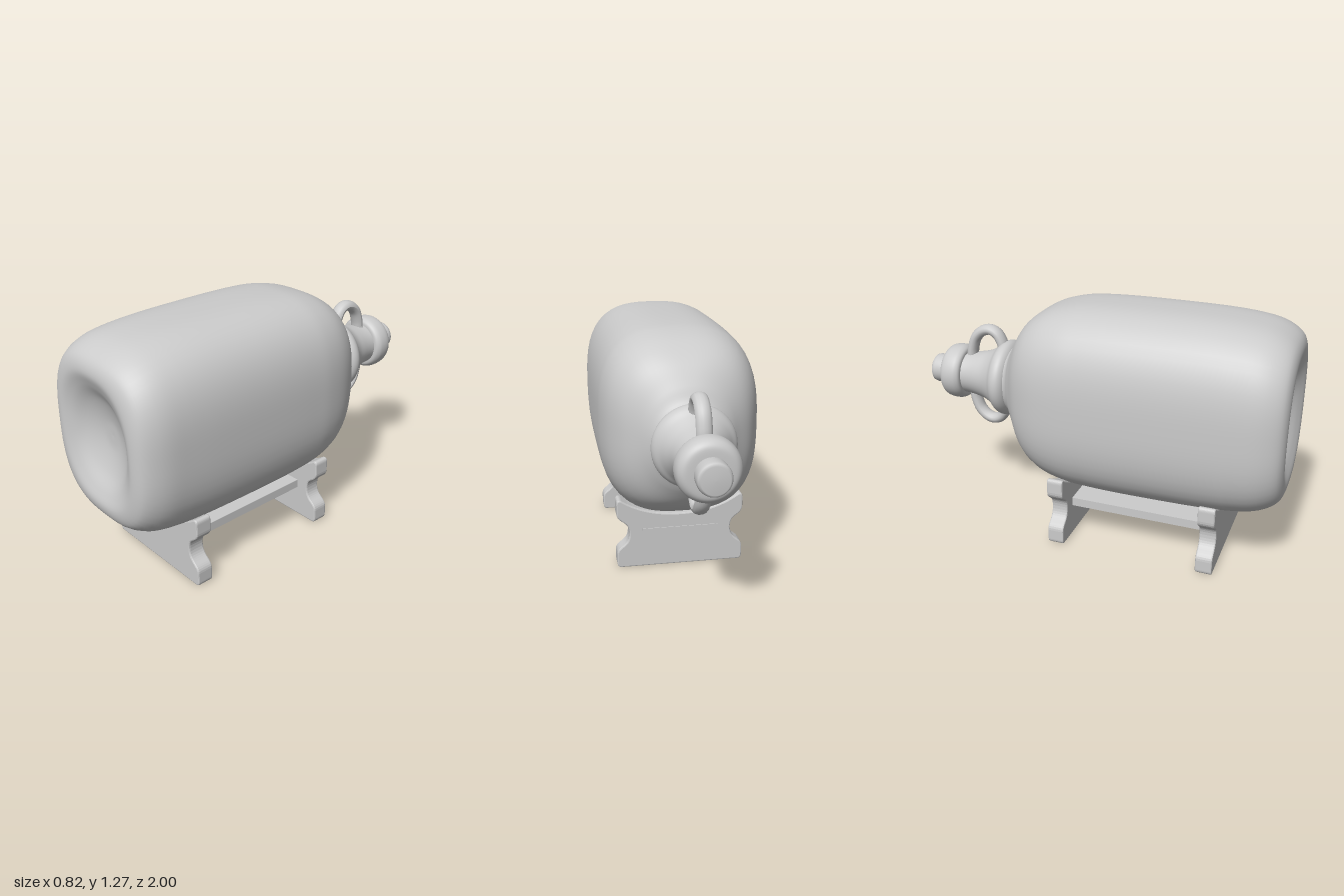
import * as THREE from 'three';

const AXIS_Y = 0.777; // height of the bottle's axis
const material = new THREE.MeshStandardMaterial({ color: 0xcccccc });

function part(name, geometry, parent) {
  const mesh = new THREE.Mesh(geometry, material);
  mesh.name = name;
  parent.add(mesh);
  return mesh;
}

// Loft of rounded-square rings along z; each station is [z, half width, half height]
function loftBody(stations, rows, cols) {
  const curve = new THREE.CatmullRomCurve3(
    stations.map(([z, rx, ry]) => new THREE.Vector3(rx, ry, z)), false, 'centripetal');
  const pos = [], index = [];
  for (let i = 0; i <= rows; i++) {
    const p = curve.getPoint(i / rows);
    const n = 2 + 0.85 * Math.min(1, Math.max(0, (p.x - 0.16) / 0.18));
    for (let j = 0; j < cols; j++) {
      const a = (j / cols) * Math.PI * 2, c = Math.cos(a), s = Math.sin(a);
      const r = 1 / Math.pow(Math.abs(c) ** n + Math.abs(s) ** n, 1 / n);
      pos.push(p.x * r * c, p.y * r * s, p.z);
      if (i < rows) {
        const k = (j + 1) % cols, o = i * cols;
        index.push(o + j, o + cols + j, o + k, o + k, o + cols + j, o + cols + k);
      }
    }
  }
  const g = new THREE.BufferGeometry();
  g.setAttribute('position', new THREE.Float32BufferAttribute(pos, 3));
  g.setIndex(index);
  g.computeVertexNormals();
  return g;
}

// Turned part along -z from [radius, distance behind the centre] points
function turned(points, smooth) {
  let pts = points.map(([r, d]) => new THREE.Vector2(r, d));
  if (smooth) pts = new THREE.SplineCurve(pts).getPoints(points.length * 5);
  pts.forEach((p) => { p.x = Math.max(0, p.x); });
  return new THREE.LatheGeometry(pts, 48).rotateX(-Math.PI / 2);
}

// Cradle plate outline, mirrored about x = 0
function plateShape() {
  const s = new THREE.Shape();
  s.moveTo(-0.315, 0.007);
  s.lineTo(0.315, 0.007);
  s.quadraticCurveTo(0.328, 0.007, 0.328, 0.025);
  s.lineTo(0.328, 0.075);
  s.bezierCurveTo(0.328, 0.12, 0.262, 0.11, 0.262, 0.192);
  s.bezierCurveTo(0.262, 0.27, 0.328, 0.255, 0.328, 0.305);
  s.lineTo(0.328, 0.355);
  s.quadraticCurveTo(0.328, 0.382, 0.306, 0.366);
  s.bezierCurveTo(0.21, 0.302, 0.1, 0.283, 0, 0.283);
  s.bezierCurveTo(-0.1, 0.283, -0.21, 0.302, -0.306, 0.366);
  s.quadraticCurveTo(-0.328, 0.382, -0.328, 0.355);
  s.lineTo(-0.328, 0.305);
  s.bezierCurveTo(-0.328, 0.255, -0.262, 0.27, -0.262, 0.192);
  s.bezierCurveTo(-0.262, 0.11, -0.328, 0.12, -0.328, 0.075);
  s.lineTo(-0.328, 0.025);
  s.quadraticCurveTo(-0.328, 0.007, -0.315, 0.007);
  return s;
}

export function createModel() {
  const model = new THREE.Group();
  const bottle = new THREE.Group();
  bottle.name = 'bottle';
  bottle.position.y = AXIS_Y;
  model.add(bottle);

  // Jug body: dished base at the front, shoulder at the back
  part('body', loftBody([
    [0.9, 0, 0], [0.905, 0.07, 0.08], [0.935, 0.16, 0.185], [0.98, 0.23, 0.27],
    [1.0, 0.285, 0.335], [0.975, 0.345, 0.4], [0.89, 0.387, 0.452], [0.73, 0.402, 0.483],
    [0.3, 0.41, 0.495], [0.0, 0.409, 0.49], [-0.13, 0.403, 0.478], [-0.26, 0.375, 0.442],
    [-0.37, 0.315, 0.37], [-0.45, 0.225, 0.265], [-0.495, 0.18, 0.19], [-0.55, 0.165, 0.165],
  ], 90, 64), bottle);

  // Flared collar narrowing into the neck
  part('neck', turned([
    [0.15, 0.495], [0.18, 0.505], [0.2, 0.525], [0.205, 0.55], [0.195, 0.575],
    [0.168, 0.605], [0.14, 0.655], [0.125, 0.71], [0.117, 0.76], [0.115, 0.81],
  ], true), bottle);

  // Rounded lip and stopper
  part('lip', turned([
    [0.09, 0.79], [0.128, 0.792], [0.145, 0.81], [0.15, 0.835], [0.148, 0.87],
    [0.138, 0.895], [0.115, 0.912], [0.07, 0.917],
  ], true), bottle);
  part('stopper', turned([
    [0.074, 0.88], [0.078, 0.93], [0.079, 0.975], [0.075, 0.991], [0.064, 0.999], [0, 1],
  ], false), bottle);

  // Loop handles above and below the neck
  for (const side of [1, -1]) {
    const path = new THREE.CatmullRomCurve3([
      [0.15, -0.57], [0.2, -0.583], [0.243, -0.61], [0.26, -0.65], [0.248, -0.695],
      [0.21, -0.735], [0.15, -0.758], [0.1, -0.765],
    ].map(([y, z]) => new THREE.Vector3(0, side * y, z)));
    const loop = new THREE.TubeGeometry(path, 40, 0.029, 14, false).scale(1.3, 1, 1);
    loop.computeVertexNormals();
    part(side > 0 ? 'upperHandle' : 'lowerHandle', loop, bottle);
  }

  // Stand: two cradle plates joined by a flat stretcher
  const stand = new THREE.Group();
  stand.name = 'stand';
  model.add(stand);
  for (const [name, z] of [['frontCradle', 0.615], ['backCradle', -0.19]]) {
    const plate = new THREE.ExtrudeGeometry(plateShape(), {
      depth: 0.073, curveSegments: 12, bevelEnabled: true,
      bevelSize: 0.007, bevelThickness: 0.007, bevelSegments: 2,
    });
    part(name, plate, stand).position.z = z + 0.007;
  }
  part('stretcher', new THREE.BoxGeometry(0.4, 0.046, 0.833), stand)
    .position.set(0, 0.193, 0.222);

  return model;
}
